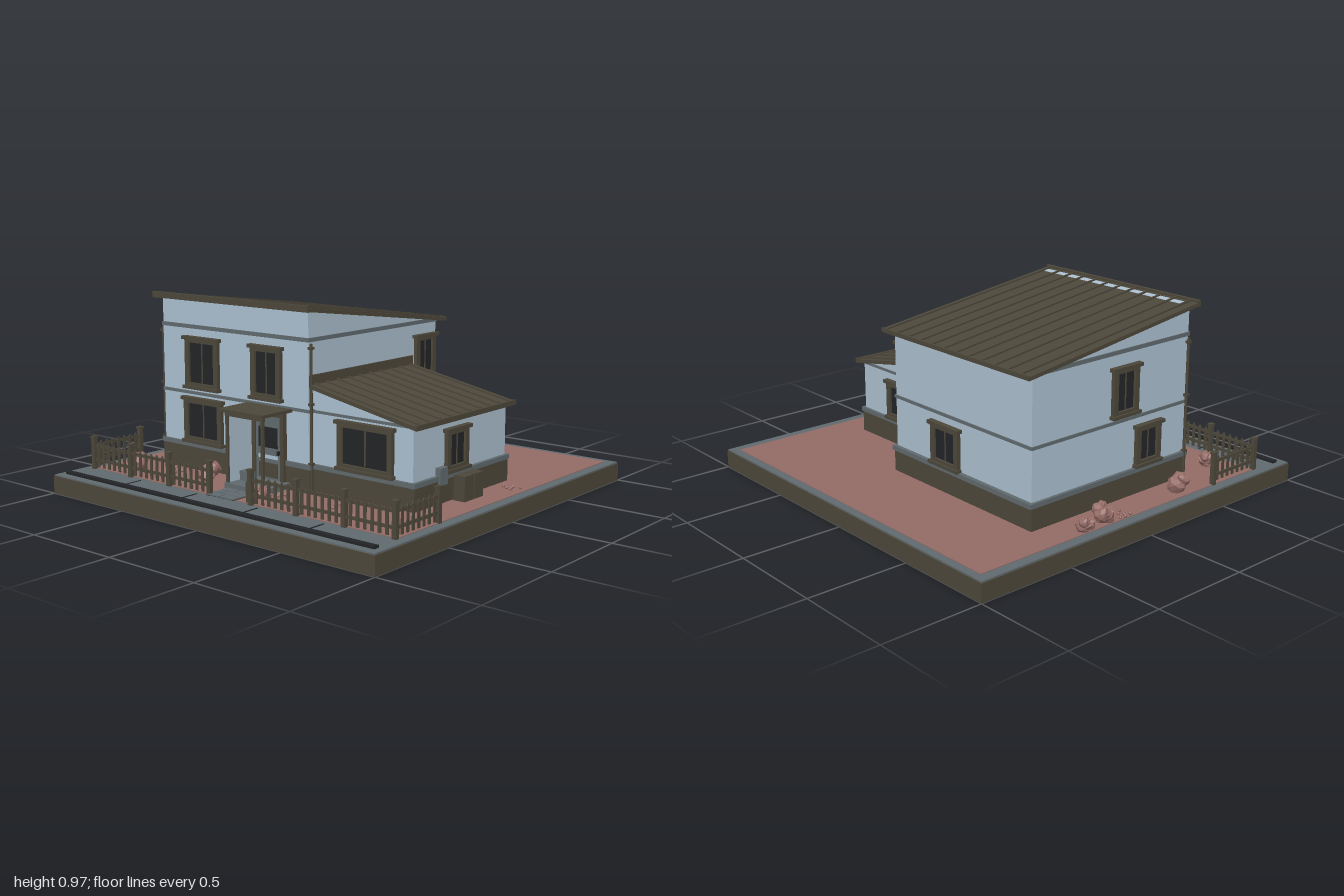
import * as THREE from 'three';

const mat = (name, color) => Object.assign(new THREE.MeshStandardMaterial({ color }), { name });
const timber = mat('olive brown timber', 0x4c473a);
const wall = mat('pale blue render', 0xabbfcf);
const stone = mat('slate grey stone', 0x606a6e);
const earth = mat('dusty red planting', 0x936a65);
const dark = mat('near black glass', 0x222427);

function add(parent, name, geo, material) {
  const m = new THREE.Mesh(geo, material);
  m.name = name;
  parent.add(m);
  return m;
}

// Box given by its limits on each axis
function box(parent, name, material, x0, x1, y0, y1, z0, z1) {
  const m = add(parent, name, new THREE.BoxGeometry(x1 - x0, y1 - y0, z1 - z0), material);
  m.position.set((x0 + x1) / 2, (y0 + y1) / 2, (z0 + z1) / 2);
  return m;
}

// Prism with an (x, y) profile running along z, or a (z, y) profile running along x
function prism(parent, name, material, pts, from, to, alongX) {
  const shape = new THREE.Shape(pts.map(p => new THREE.Vector2(p[0], p[1])));
  const geo = new THREE.ExtrudeGeometry(shape, { depth: to - from, bevelEnabled: false });
  if (alongX) geo.rotateY(-Math.PI / 2).translate(to, 0, 0);
  else geo.translate(0, 0, from);
  return add(parent, name, geo, material);
}

function group(parent, name) {
  const g = new THREE.Group();
  g.name = name;
  parent.add(g);
  return g;
}

// Framed window facing +z before turning; w and h are outer sizes
function addWindow(parent, x, y, z, w, h, turn = 0) {
  const g = group(parent, 'window');
  g.position.set(x, y, z);
  g.rotation.y = turn;
  const a = w / 2, b = h / 2, f = 0.028;
  box(g, 'glass', dark, -a + f, a - f, -b + f, b - f, 0, 0.008);
  for (const s of [-1, 1]) {
    const c = s * (a - f / 2 - 0.006);
    box(g, 'jamb', timber, c - f / 2, c + f / 2, -b, b, 0, 0.02);
  }
  box(g, 'frameTop', timber, -a + 0.006, a - 0.006, b - f, b, 0, 0.02);
  box(g, 'frameBottom', timber, -a + 0.006, a - 0.006, -b, -b + f, 0, 0.02);
  box(g, 'header', timber, -a - 0.006, a + 0.006, b - 0.014, b + 0.003, 0, 0.03);
  box(g, 'sill', timber, -a - 0.002, a + 0.002, -b - 0.003, -b + 0.013, 0, 0.03);
  box(g, 'mullion', timber, -0.003, 0.003, -b + f, b - f, 0, 0.012);
}

function buildGround(root) {
  const g = group(root, 'ground');
  box(g, 'base', timber, -1, 1, 0, 0.088, -1, 1);
  box(g, 'paving', stone, -0.995, 0.995, 0.088, 0.095, -0.995, 0.995);
  box(g, 'garden', earth, -0.945, 0.945, 0.095, 0.098, -0.957, 0.785);
  box(g, 'gutter', dark, -0.96, 0.96, 0.095, 0.107, 0.925, 0.955);
  for (const x of [-0.58, -0.195, 0.19, 0.575])
    box(g, 'pavementJoint', dark, x - 0.004, x + 0.004, 0.095, 0.097, 0.81, 0.925);
  // Garden path
  box(g, 'pathBed', dark, -0.135, 0.03, 0.098, 0.1, 0.66, 0.8);
  for (let r = 0; r < 3; r++) {
    const z = 0.665 + r * 0.048, split = r % 2 ? -0.09 : -0.055;
    box(g, 'paver', stone, -0.135, split - 0.003, 0.1, 0.106, z, z + 0.042);
    box(g, 'paver', stone, split + 0.003, 0.03, 0.1, 0.106, z, z + 0.042);
  }
}

function buildMainHouse(root) {
  const g = group(root, 'mainHouse');
  box(g, 'foundation', timber, -0.78, 0.2, 0.095, 0.205, -0.53, 0.472);
  box(g, 'foundationCap', stone, -0.785, 0.205, 0.205, 0.228, -0.54, 0.476);
  prism(g, 'walls', wall, [[-0.52, 0.2], [0.465, 0.2], [0.465, 0.942], [-0.52, 0.808]], -0.77, 0.19, true);
  box(g, 'storeyBand', stone, -0.776, 0.196, 0.47, 0.485, -0.526, 0.471);
  box(g, 'eaveBand', stone, -0.776, 0.196, 0.797, 0.816, -0.526, 0.471);

  // Sloping roof with standing seams
  const top = z => 0.958 - 0.1337 * (0.5 - z);
  const strip = (z0, z1, lo, hi) => [[z0, top(z0) + lo], [z1, top(z1) + lo], [z1, top(z1) + hi], [z0, top(z0) + hi]];
  prism(g, 'roof', timber, strip(-0.57, 0.495, -0.018, 0), -0.805, 0.22, true);
  box(g, 'roofFascia', timber, -0.805, 0.22, 0.937, 0.967, 0.485, 0.503);
  box(g, 'rearFascia', timber, -0.805, 0.22, 0.8, 0.82, -0.575, -0.565);
  for (let i = 0; i < 12; i++) {
    const x = -0.755 + i * 0.0856;
    prism(g, 'roofSeam', timber, strip(-0.565, 0.49, 0, 0.008), x - 0.005, x + 0.005, true);
    if (i < 11) prism(g, 'wallTopStrip', wall, strip(0.432, 0.463, 0, 0.002), x + 0.006, x + 0.079, true);
  }

  // Downpipes with brackets
  for (const x of [-0.78, 0.2]) {
    const p = add(g, 'downpipe', new THREE.CylinderGeometry(0.007, 0.007, 0.69, 8), timber);
    p.position.set(x, 0.445, 0.458);
    for (const y of [0.23, 0.51, 0.77]) box(g, 'pipeBracket', timber, x - 0.01, x + 0.01, y - 0.006, y + 0.006, 0.446, 0.47);
  }

  const q = Math.PI / 2;
  addWindow(g, -0.49, 0.63, 0.465, 0.235, 0.255);
  addWindow(g, -0.064, 0.63, 0.465, 0.2, 0.255);
  addWindow(g, -0.487, 0.343, 0.465, 0.27, 0.225);
  addWindow(g, -0.19, 0.33, -0.52, 0.21, 0.205, Math.PI);
  addWindow(g, 0.19, 0.625, -0.42, 0.175, 0.235, q);
  addWindow(g, 0.19, 0.332, -0.4, 0.175, 0.2, q);
  addWindow(g, -0.77, 0.62, 0.04, 0.175, 0.235, -q);
  addWindow(g, -0.77, 0.332, 0.2, 0.175, 0.2, -q);
}

function buildWing(root) {
  const g = group(root, 'sideWing');
  box(g, 'wingFoundation', timber, 0.19, 0.775, 0.095, 0.205, -0.308, 0.44);
  box(g, 'wingFoundationCap', stone, 0.19, 0.78, 0.205, 0.228, -0.313, 0.445);
  prism(g, 'wingWalls', wall, [[0.18, 0.2], [0.762, 0.2], [0.762, 0.482], [0.18, 0.594]], -0.3, 0.432);
  box(g, 'wingBand', stone, 0.19, 0.767, 0.468, 0.481, -0.305, 0.437);
  const top = x => 0.6 - 0.192 * (x - 0.2);
  const strip = (x0, x1, lo, hi) => [[x0, top(x0) + lo], [x1, top(x1) + lo], [x1, top(x1) + hi], [x0, top(x0) + hi]];
  prism(g, 'wingRoof', timber, strip(0.19, 0.8, -0.018, 0), -0.328, 0.462);
  box(g, 'wingEave', timber, 0.79, 0.803, 0.472, 0.492, -0.328, 0.462);
  box(g, 'roofFlashing', timber, 0.188, 0.2, 0.59, 0.645, -0.32, 0.462);
  for (let i = 0; i < 10; i++) {
    const z = -0.288 + i * 0.0795;
    prism(g, 'wingRoofSeam', timber, strip(0.2, 0.785, 0, 0.008), z - 0.005, z + 0.005);
  }
  addWindow(g, 0.502, 0.343, 0.432, 0.325, 0.225);
  addWindow(g, 0.45, 0.33, -0.3, 0.21, 0.2, Math.PI);
  addWindow(g, 0.762, 0.33, 0.115, 0.18, 0.2, Math.PI / 2);
  // Utility boxes on the side wall
  box(g, 'meterBox', stone, 0.762, 0.79, 0.185, 0.265, 0.208, 0.265);
  box(g, 'storageBin', timber, 0.785, 0.845, 0.095, 0.215, 0.005, 0.075);
  box(g, 'storageBin', timber, 0.785, 0.845, 0.095, 0.215, 0.082, 0.155);
}

function buildPorch(root) {
  const g = group(root, 'porch');
  box(g, 'porchRoof', timber, -0.188, 0.092, 0.462, 0.477, 0.465, 0.67);
  box(g, 'porchBeam', timber, -0.165, 0.078, 0.443, 0.462, 0.636, 0.652);
  box(g, 'porchFloor', stone, -0.165, 0.08, 0.095, 0.125, 0.465, 0.66);
  box(g, 'porchScreen', wall, -0.16, -0.148, 0.125, 0.462, 0.47, 0.64);
  for (const x of [-0.155, 0.068]) box(g, 'porchPost', timber, x - 0.007, x + 0.007, 0.1, 0.462, 0.637, 0.651);
  // Front door
  for (const x of [-0.137, 0.043]) box(g, 'doorJamb', timber, x - 0.011, x + 0.011, 0.12, 0.455, 0.465, 0.49);
  box(g, 'doorHead', timber, -0.148, 0.054, 0.43, 0.458, 0.465, 0.49);
  box(g, 'door', stone, -0.126, 0.032, 0.12, 0.43, 0.465, 0.483);
  box(g, 'doorGlass', dark, -0.107, 0.013, 0.278, 0.376, 0.483, 0.486);
  box(g, 'doorPanel', wall, -0.107, 0.013, 0.225, 0.242, 0.483, 0.486);
  box(g, 'doorKick', timber, -0.107, 0.013, 0.135, 0.205, 0.483, 0.486);
  box(g, 'doorHandle', dark, 0.018, 0.026, 0.25, 0.27, 0.483, 0.497);
}

// Fence run built along x from 0 to its length, with posts at equal steps
function fenceRun(parent, x, z, length, bays, turn) {
  const g = group(parent, 'fence');
  g.position.set(x, 0, z);
  g.rotation.y = turn;
  for (const y of [0.135, 0.205]) box(g, 'fenceRail', timber, 0, length, y, y + 0.014, -0.004, 0.004);
  for (let i = 0; i <= bays; i++) {
    const c = i * length / bays;
    box(g, 'fencePost', timber, c - 0.011, c + 0.011, 0.095, 0.25, -0.011, 0.011);
    box(g, 'postCap', timber, c - 0.014, c + 0.014, 0.25, 0.26, -0.014, 0.014);
  }
  const n = Math.round(length / 0.039);
  for (let i = 1; i < n; i++) {
    const c = i * length / n;
    prism(g, 'picket', timber, [[c - 0.008, 0.108], [c + 0.008, 0.108], [c + 0.008, 0.222], [c, 0.234], [c - 0.008, 0.222]], 0.004, 0.009);
  }
}

// Rough faceted lump; corners move in or out by a rule on their position
function lump(parent, name, x, y, z, r, seed, detail) {
  const geo = new THREE.IcosahedronGeometry(r, detail);
  const p = geo.attributes.position, v = new THREE.Vector3();
  for (let i = 0; i < p.count; i++) {
    v.fromBufferAttribute(p, i);
    const n = v.clone().divideScalar(r);
    v.multiplyScalar(1 + 0.22 * Math.sin(n.x * 7 + seed) * Math.cos(n.y * 6 + n.z * 5 + seed * 2));
    p.setXYZ(i, v.x, v.y, v.z);
  }
  geo.computeVertexNormals();
  add(parent, name, geo, earth).position.set(x, y, z);
}

function buildGarden(root) {
  const g = group(root, 'garden');
  fenceRun(g, -0.94, 0.79, 0.81, 3, 0);
  fenceRun(g, 0.13, 0.79, 0.81, 3, 0);
  for (const x of [-0.94, 0.94]) fenceRun(g, x, 0.79, 0.3, 1, Math.PI / 2);
  box(g, 'letterboxPost', timber, 0.088, 0.102, 0.095, 0.2, 0.765, 0.779);
  box(g, 'letterbox', stone, 0.068, 0.122, 0.2, 0.245, 0.75, 0.795);
  const shrubs = [[-0.93, -0.35, 0.04], [-0.905, -0.225, 0.05], [-0.855, -0.18, 0.038], [-0.89, 0.31, 0.052],
    [-0.77, 0.65, 0.046], [-0.33, 0.58, 0.052], [0.1, 0.7, 0.04]];
  shrubs.forEach(([x, z, r], i) => {
    for (let k = 0; k < 3; k++) {
      const a = i * 1.7 + k * 2.1;
      lump(g, 'shrub', x + Math.cos(a) * r * 0.35, 0.1 + r * (0.55 + 0.3 * k), z + Math.sin(a) * r * 0.35, r * (0.85 - k * 0.13), i + k, 1);
    }
  });
  // Scattered pebbles
  const patches = [[0.87, -0.18], [-0.92, -0.1], [-0.57, 0.6], [0.14, 0.6], [0.44, 0.58]];
  patches.forEach(([x, z], i) => {
    for (let k = 0; k < 6; k++) {
      const a = k * 2.4 + i;
      lump(g, 'pebble', x + Math.cos(a) * 0.01 * (k + 1) * 0.8, 0.104, z + Math.sin(a) * 0.008 * (k + 1), 0.009, k, 0);
    }
  });
}

export function createModel() {
  const root = new THREE.Group();
  root.name = 'house';
  buildGround(root);
  buildMainHouse(root);
  buildWing(root);
  buildPorch(root);
  buildGarden(root);
  return root;
}
